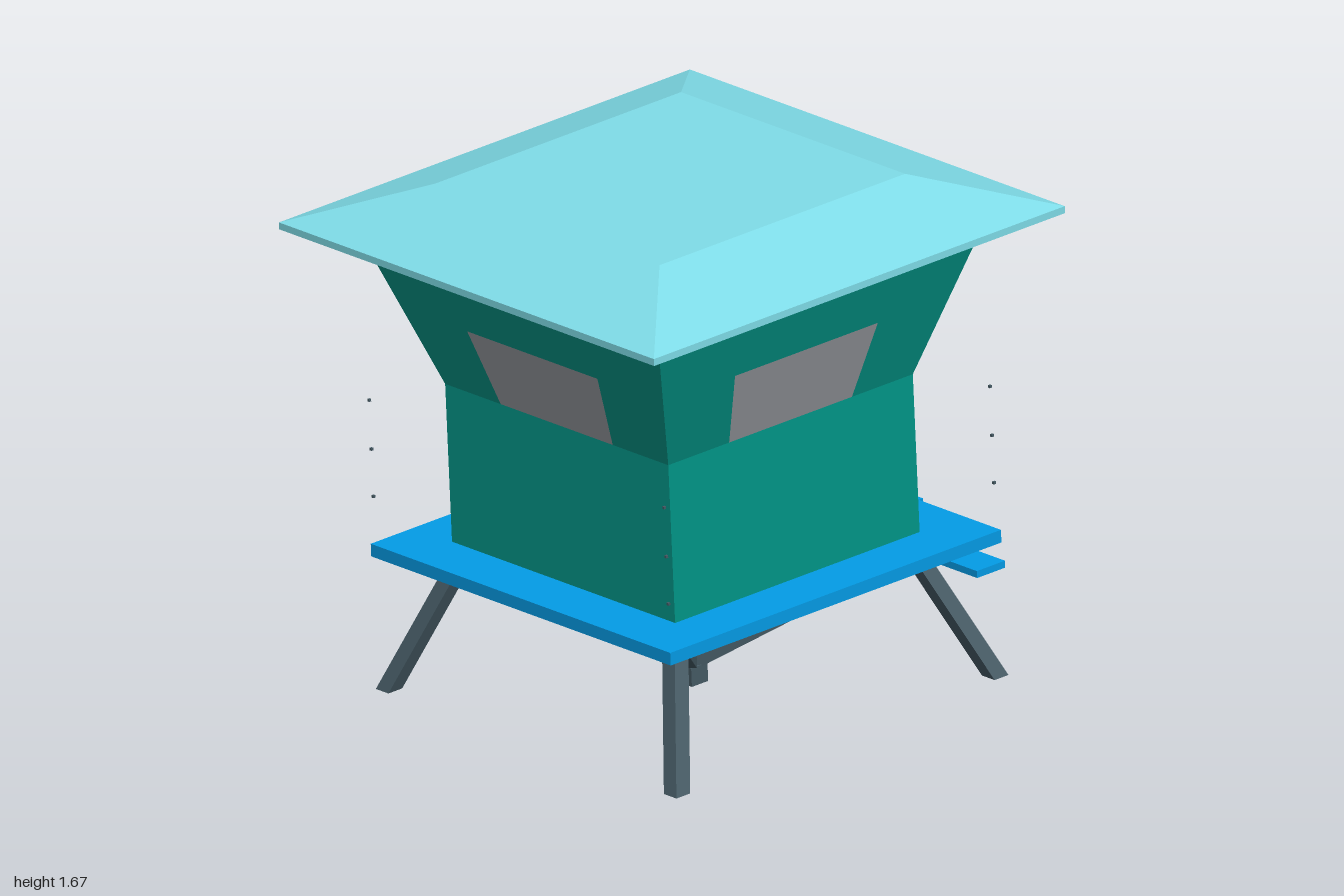
import * as THREE from 'three';

const material = (name, color) => {
  const m = new THREE.MeshStandardMaterial({ color });
  m.name = name;
  return m;
};

// Wall profile: upright up to the fold, then flaring outward to the roof
const FOLD = 0.5, SILL_TOP = 0.745, WALL_TOP = 1.0, BASE = 0.488, FLARE = 0.66;
const DOOR = 0.245, OPENING_TOP = 0.285;
const wallDepth = (y) => BASE + Math.max(0, (y - FOLD) / (WALL_TOP - FOLD)) * (FLARE - BASE);

export function createModel() {
  const teal = material('teal wall', 0x009688);
  const cyan = material('pale cyan roof', 0x80deea);
  const blue = material('blue deck', 0x039be5);
  const slate = material('slate timber', 0x455a64);
  const glass = material('grey window', 0x9c9fa5);
  teal.side = glass.side = THREE.DoubleSide;

  const hut = new THREE.Group();
  hut.name = 'hut';

  const add = (parent, name, geometry, mat, x = 0, y = 0, z = 0) => {
    const mesh = new THREE.Mesh(geometry, mat);
    mesh.name = name;
    mesh.position.set(x, y, z);
    parent.add(mesh);
    return mesh;
  };

  // Flat outline pushed out to the wall profile
  const wallPanel = (points) => {
    const shape = new THREE.Shape(points.map(([x, y]) => new THREE.Vector2(x, y)));
    const g = new THREE.ShapeGeometry(shape);
    const p = g.attributes.position;
    for (let i = 0; i < p.count; i++) p.setZ(i, wallDepth(p.getY(i)));
    g.computeVertexNormals();
    return g;
  };

  // Deck
  add(hut, 'deck', new THREE.BoxGeometry(1.31, 0.04, 1.32), blue, 0, -0.02, 0);

  // Four walls; the back one has a doorway, the others a window
  ['frontWall', 'rightSideWall', 'backWall', 'leftSideWall'].forEach((name, i) => {
    const wall = new THREE.Group();
    wall.name = name;
    wall.rotation.y = i * Math.PI / 2;
    hut.add(wall);
    add(wall, 'upperWall', wallPanel([
      [-BASE, FOLD], [-DOOR, FOLD], [-OPENING_TOP, SILL_TOP], [OPENING_TOP, SILL_TOP],
      [DOOR, FOLD], [BASE, FOLD], [FLARE, WALL_TOP], [-FLARE, WALL_TOP],
    ]), teal);
    if (name === 'backWall') {
      for (const [a, b] of [[-BASE, -DOOR], [DOOR, BASE]]) {
        add(wall, 'doorSide', wallPanel([[a, 0], [b, 0], [b, FOLD], [a, FOLD]]), teal);
      }
    } else {
      add(wall, 'lowerWall', wallPanel([[-BASE, 0], [BASE, 0], [BASE, FOLD], [-BASE, FOLD]]), teal);
      add(wall, 'window', wallPanel([
        [-DOOR, FOLD], [DOOR, FOLD], [OPENING_TOP, SILL_TOP], [-OPENING_TOP, SILL_TOP],
      ]), glass);
    }
  });

  // Roof: thin eaves slab with a truncated pyramid on top
  add(hut, 'eaves', new THREE.BoxGeometry(1.64, 0.022, 1.64), cyan, 0, 1.011, 0);
  const hip = new THREE.CylinderGeometry(0.49 * Math.SQRT2, 0.82 * Math.SQRT2, 0.113, 4, 1)
    .rotateY(Math.PI / 4).toNonIndexed();
  hip.computeVertexNormals();
  add(hut, 'roof', hip, cyan, 0, 1.0785, 0);

  // Splayed legs with level ends, and braces meeting at a central block
  const hub = new THREE.Vector3(0, -0.4, 0);
  for (const sx of [-1, 1]) {
    for (const sz of [-1, 1]) {
      const leg = new THREE.BoxGeometry(0.055, 0.42, 0.055).toNonIndexed();
      const p = leg.attributes.position;
      for (let i = 0; i < p.count; i++) {
        const t = 0.5 - p.getY(i) / 0.42;
        p.setX(i, p.getX(i) + sx * (0.46 + 0.17 * t));
        p.setZ(i, p.getZ(i) + sz * (0.465 + 0.17 * t));
      }
      leg.computeVertexNormals();
      add(hut, 'leg', leg, slate, 0, -0.25, 0);

      const top = new THREE.Vector3(sx * 0.46, -0.065, sz * 0.465);
      const brace = add(hut, 'brace', new THREE.BoxGeometry(0.036, 0.036, top.distanceTo(hub)), slate);
      brace.position.copy(top).add(hub).multiplyScalar(0.5);
      brace.lookAt(top);

      // Small rail fixings above each deck corner
      for (const y of [0.15, 0.3, 0.455]) {
        add(hut, 'railFixing', new THREE.BoxGeometry(0.008, 0.008, 0.008), slate, sx * 0.645, y, sz * 0.65);
      }
    }
  }
  add(hut, 'braceBlock', new THREE.BoxGeometry(0.07, 0.058, 0.065), slate, 0, -0.428, 0);

  // Steps down from the doorway
  for (let i = 0; i < 4; i++) {
    add(hut, 'step', new THREE.BoxGeometry(0.365, 0.022, 0.112), blue, 0, -0.07 - i * 0.0967, -0.72 - i * 0.104);
  }

  // The whole hut leans slightly toward the front
  hut.position.set(0.002, 0.507, 0.115);
  hut.rotation.set(0.0605, 0.007, -0.007);

  const model = new THREE.Group();
  model.name = 'beachHut';
  model.add(hut);
  return model;
}
